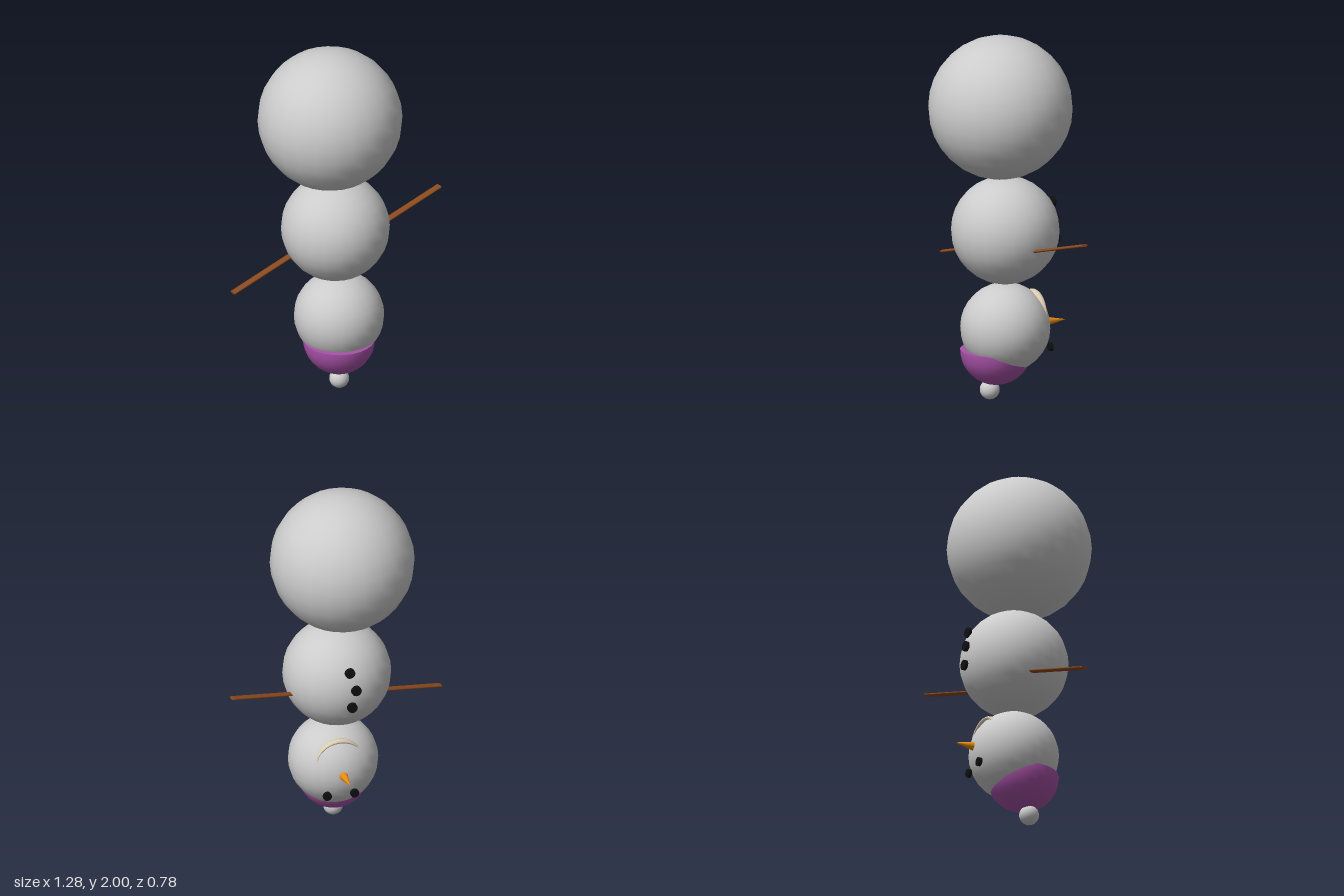
import * as THREE from 'three';

const SNOW = 0xcccccc, COAL = 0x101010, WOOD = 0x8b4a1e, CARROT = 0xe88a10, HAT = 0xa852a8, BONE = 0xdccdb4;

export function createModel() {
  const group = new THREE.Group();

  function add(name, geometry, color, x = 0, y = 0, z = 0, side = THREE.FrontSide) {
    const mesh = new THREE.Mesh(geometry, new THREE.MeshStandardMaterial({ color, side }));
    mesh.name = name;
    mesh.position.set(x, y, z);
    group.add(mesh);
    return mesh;
  }

  // Snowballs, stacked upside down with the largest on top
  const ball = (name, r, x, y, z) => add(name, new THREE.SphereGeometry(r, 24, 16), SNOW, x, y, z);
  ball('base', 0.391, -0.053, 1.609, 0);
  ball('body', 0.294, -0.018, 0.935, -0.013);
  ball('head', 0.244, 0, 0.4, -0.005);
  ball('pompom', 0.054, -0.026, 0.057, 0.075);

  // Half-dome hat over the lower part of the head
  const hatAt = [-0.016, 0.281, 0.042];
  add('hat', new THREE.SphereGeometry(0.195, 24, 10, 0, Math.PI * 2, Math.PI / 2, Math.PI / 2), HAT, ...hatAt, THREE.DoubleSide);
  const rim = add('hatRim', new THREE.CircleGeometry(0.195, 24), HAT, ...hatAt);
  rim.rotation.x = -Math.PI / 2;

  // Buttons and eyes are thin coal discs facing the back
  function coal(name, r, x, y, z) {
    add(name, new THREE.CylinderGeometry(r, r, 0.018, 16).rotateX(Math.PI / 2), COAL, x, y, z);
  }
  coal('topButton', 0.028, -0.003, 1.07, -0.287);
  coal('middleButton', 0.028, -0.03, 0.972, -0.315);
  coal('bottomButton', 0.028, -0.008, 0.87, -0.312);
  coal('leftEye', 0.024, 0.105, 0.293, -0.224);
  coal('rightEye', 0.024, -0.044, 0.297, -0.242);

  // Carrot nose
  add('nose', new THREE.ConeGeometry(0.032, 0.15, 16).rotateX(-Math.PI / 2), CARROT, 0.018, 0.413, -0.279);

  // Flattened sticks, both leaning the same way
  function arm(name, from, to) {
    const a = new THREE.Vector3(...from), b = new THREE.Vector3(...to);
    const dir = b.clone().sub(a);
    const geo = new THREE.CylinderGeometry(1, 1, dir.length(), 12).scale(0.021, 1, 0.008);
    dir.normalize();
    const across = new THREE.Vector3().crossVectors(dir, new THREE.Vector3(0, 1, 0)).normalize();
    const normal = new THREE.Vector3().crossVectors(across, dir);
    geo.applyMatrix4(new THREE.Matrix4().makeBasis(across, dir, normal));
    const mid = a.add(b).multiplyScalar(0.5);
    add(name, geo, WOOD, mid.x, mid.y, mid.z);
  }
  arm('leftArm', [0.15, 0.843, -0.037], [0.634, 0.98, -0.193]);
  arm('rightArm', [-0.15, 0.822, -0.073], [-0.634, 0.685, 0.082]);

  // Crescent mouth: an arch that tapers to points at both ends
  const steps = 24, sides = 10, positions = [], index = [];
  for (let i = 0; i <= steps; i++) {
    const t = (i / steps) * Math.PI, taper = Math.sin(t) + 0.001;
    for (let j = 0; j < sides; j++) {
      const s = (j / sides) * Math.PI * 2;
      const off = 0.012 * taper * Math.cos(s);
      positions.push(
        (0.126 + off) * Math.cos(t),
        (0.108 + off) * Math.sin(t),
        0.022 * taper * (1 + Math.sin(s))
      );
      if (i < steps) {
        const a = i * sides + j, b = i * sides + (j + 1) % sides;
        index.push(a, a + sides, b, b, a + sides, b + sides);
      }
    }
  }
  const mouth = new THREE.BufferGeometry();
  mouth.setAttribute('position', new THREE.Float32BufferAttribute(positions, 3));
  mouth.setIndex(index);
  mouth.computeVertexNormals();
  add('mouth', mouth, BONE, 0.023, 0.48, -0.185, THREE.DoubleSide);

  return group;
}
